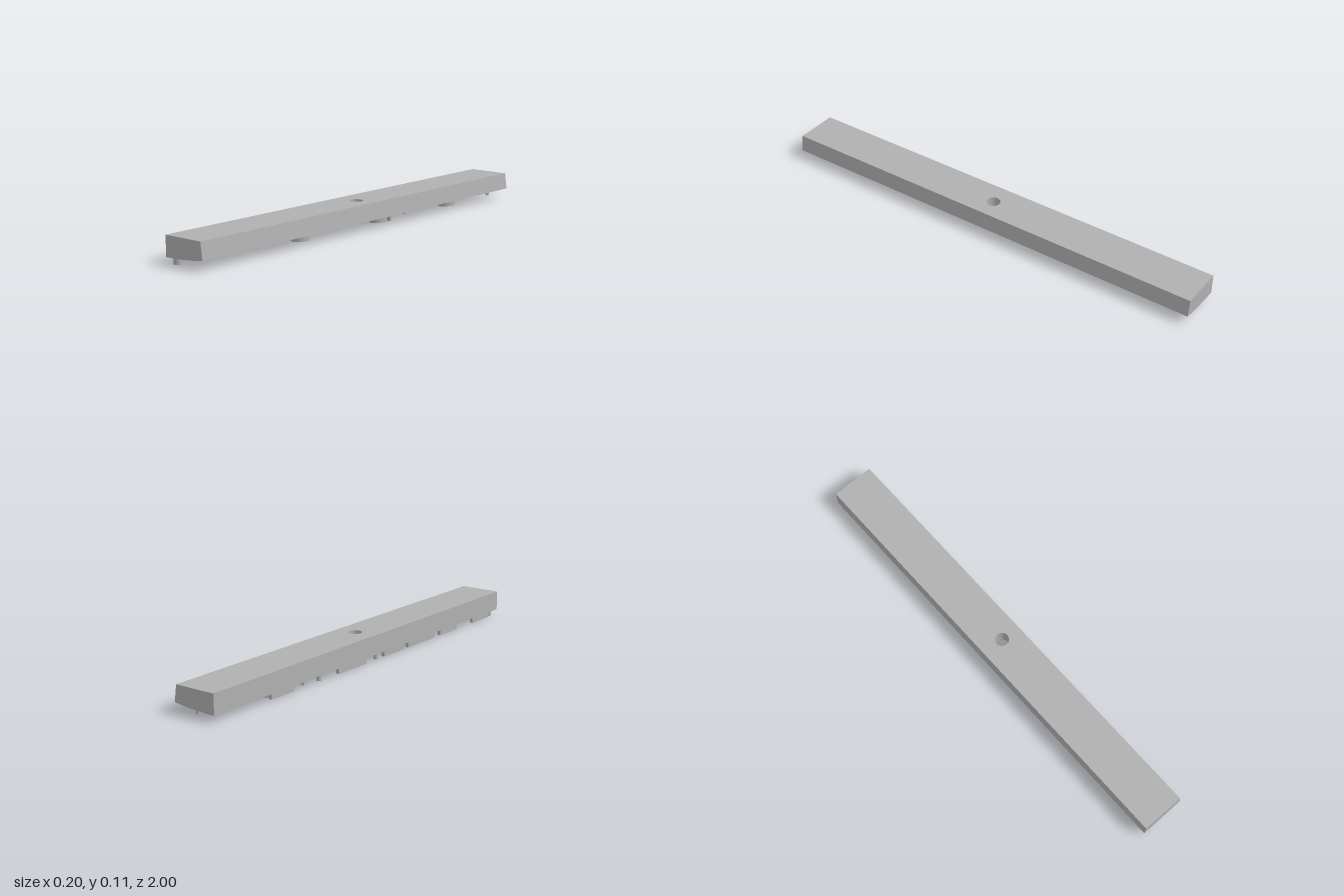
import * as THREE from 'three';

const grey = new THREE.MeshStandardMaterial({ color: 0xb0b0b0 });
grey.name = 'plain grey';

const TOP = 0.115, RELIEF = 0.028, HOLE = 0.03, STEPS = 12;

// height of the gently curved underside
const under = (x) => 0.028 + 0.014 * ((x + 0.1) / 0.2) ** 2;

// plan shape (x, z) extruded downward, then fitted between two height rules
function drape(shape, upper, lower, shift = (x) => x) {
  const geo = new THREE.ExtrudeGeometry(shape, { depth: 1, bevelEnabled: false, curveSegments: 16 });
  geo.rotateX(Math.PI / 2);
  const p = geo.attributes.position;
  for (let i = 0; i < p.count; i++) {
    const x = p.getX(i);
    const isTop = p.getY(i) > -0.5;
    p.setY(i, isTop ? upper(x) : lower(x));
    if (isTop) p.setX(i, shift(x));
  }
  geo.computeVertexNormals();
  return geo;
}

function circle(x, z, r, PathType = THREE.Shape) {
  const c = new PathType();
  c.absarc(x, z, r, 0, Math.PI * 2, false);
  return c;
}

function ring(x, z, r, wall = 0.012) {
  const s = circle(x, z, r);
  s.holes.push(circle(x, z, r - wall, THREE.Path));
  return s;
}

// straight rib of a given width between two plan points
function rib(x0, z0, x1, z1, w = 0.014) {
  const l = Math.hypot(x1 - x0, z1 - z0);
  const nx = (-(z1 - z0) / l) * w / 2, nz = ((x1 - x0) / l) * w / 2;
  return new THREE.Shape([[x0 + nx, z0 + nz], [x1 + nx, z1 + nz], [x1 - nx, z1 - nz], [x0 - nx, z0 - nz]]
    .map(([x, z]) => new THREE.Vector2(x, z)));
}

export function createModel() {
  const model = new THREE.Group();
  const add = (name, geo, parent = model) => {
    const m = new THREE.Mesh(geo, grey);
    m.name = name;
    parent.add(m);
    return m;
  };
  const xs = Array.from({ length: STEPS + 1 }, (_, i) => -0.1 + (0.2 * i) / STEPS);

  // bar ends: slanted profile extruded along the length
  const profile = new THREE.Shape([
    ...xs.map((x) => new THREE.Vector2(x, under(x))),
    new THREE.Vector2(0.09, TOP), new THREE.Vector2(-0.1, TOP),
  ]);
  const half = 0.05;
  for (const [name, z] of [['frontBar', half], ['backBar', -1]]) {
    const geo = new THREE.ExtrudeGeometry(profile, { depth: 1 - half, bevelEnabled: false });
    add(name, geo.translate(0, 0, z));
  }

  // middle of the bar with the vertical hole
  const middle = new THREE.Shape([
    ...xs.map((x) => new THREE.Vector2(x, -half)),
    ...[...xs].reverse().map((x) => new THREE.Vector2(x, half)),
  ]);
  middle.holes.push(circle(0, 0, HOLE, THREE.Path));
  add('middleBar', drape(middle, () => TOP, under, (x) => (x > 0.0999 ? 0.09 : x)));

  // raised relief on the underside
  const relief = new THREE.Group();
  relief.name = 'undersideRelief';
  model.add(relief);
  const raise = (name, shape) =>
    add(name, drape(shape, (x) => under(x) + 0.004, (x) => under(x) - RELIEF), relief);

  // row of ribs along the edge
  const edge = [[0.94, 0.8], [0.66, 0.525], [0.48, 0.27], [0.24, 0.09], [-0.04, -0.23], [-0.52, -0.66]];
  for (const [a, b] of edge) raise('edgeRib', rib(-0.0825, a, -0.0825, b, 0.015));

  // slanted and crosswise ribs
  raise('slantedRib', rib(-0.01, -0.345, -0.07, -0.447));
  raise('crossRib', rib(0.06, -0.165, -0.08, -0.147));

  // paired rings
  for (const [z, z2] of [[0.375, 0.375], [-0.125, -0.09], [-0.625, -0.625]]) {
    raise('largeRing', ring(0.02, z, 0.039));
    raise('smallRing', ring(-0.042, z2, 0.034));
  }

  // round pins
  for (const [x, z, r] of [[-0.067, 0.968, 0.018], [-0.08, 0.04, 0.009], [-0.08, -0.35, 0.01], [0.013, -0.965, 0.008]])
    raise('pin', circle(x, z, r));

  return model;
}
